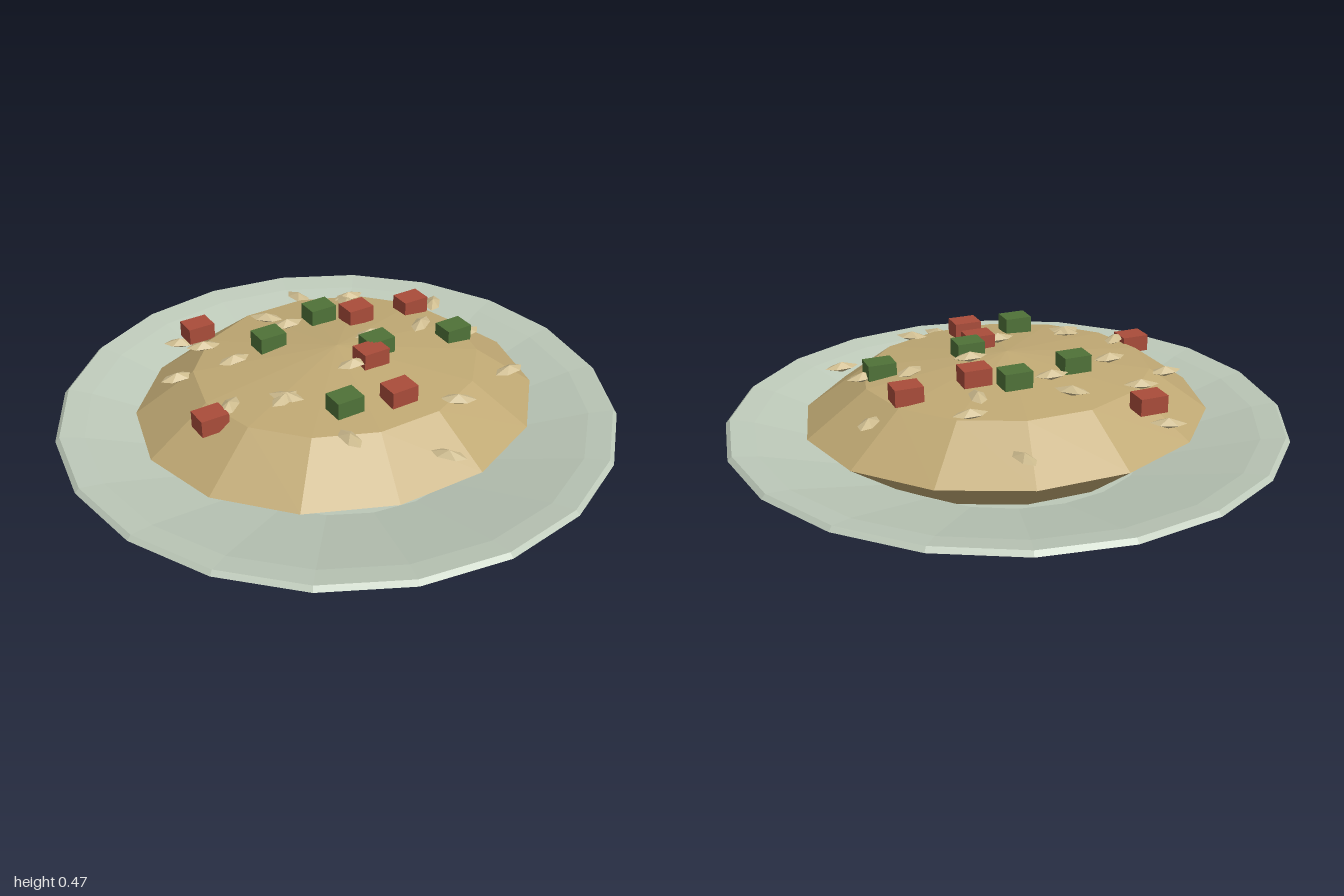
import * as THREE from 'three';

const mat = (color, extra = {}) =>
  new THREE.MeshStandardMaterial({ color, flatShading: true, ...extra });

// Mound ellipsoid: centre height and radii
const MOUND = { y: 0.215, rx: 0.73, ry: 0.215, rz: 0.655 };

// Height of the mound surface above a point on the plate
function moundHeight(x, z) {
  const d = (x / MOUND.rx) ** 2 + (z / MOUND.rz) ** 2;
  return MOUND.y + MOUND.ry * Math.sqrt(Math.max(0, 1 - d));
}

function add(parent, name, geometry, material) {
  const mesh = new THREE.Mesh(geometry, material);
  mesh.name = name;
  parent.add(mesh);
  return mesh;
}

export function createModel() {
  const model = new THREE.Group();
  model.name = 'plateOfRice';

  // Shallow plate: underside, rim, then inner surface
  const profile = [
    [0, 0.03], [0.42, 0.03], [0.53, 0.045], [0.86, 0.11], [1, 0.185],
    [0.985, 0.2], [0.9, 0.185], [0.5, 0.07], [0, 0.06],
  ].map(([r, y]) => new THREE.Vector2(r, y));
  add(model, 'plate', new THREE.LatheGeometry(profile, 20),
    mat(0xbcc8b8, { side: THREE.DoubleSide }));

  // Squashed mound of rice
  const mound = add(model, 'riceMound', new THREE.SphereGeometry(1, 14, 4), mat(0xbfa873));
  mound.scale.set(MOUND.rx, MOUND.ry, MOUND.rz);
  mound.position.y = MOUND.y;

  // Diced vegetables: x, y, z of each centre
  const dice = {
    redDice: [0xa94c3a, [
      [-0.32, 0.365, -0.46], [-0.545, 0.36, 0.09], [0.185, 0.43, -0.165],
      [0.425, 0.4, -0.16], [0.06, 0.435, 0.125], [0.03, 0.41, 0.34]]],
    greenDice: [0x4f7238, [
      [-0.18, 0.425, -0.17], [0.07, 0.43, -0.24], [0.12, 0.435, 0.07],
      [0.44, 0.395, 0.09], [-0.16, 0.415, 0.305]]],
  };
  const cube = new THREE.BoxGeometry(0.1, 0.06, 0.08);
  for (const [name, [color, places]] of Object.entries(dice)) {
    const group = new THREE.Group();
    group.name = name;
    const material = mat(color);
    for (const p of places) add(group, 'dice', cube, material).position.set(...p);
    model.add(group);
  }

  // Loose grains: x, z and turn in degrees
  const grains = new THREE.Group();
  grains.name = 'riceGrains';
  const grain = new THREE.SphereGeometry(1, 6, 2);
  grain.scale(0.062, 0.019, 0.03);
  const grainMat = mat(0xcdbb8e);
  const places = [
    [-0.37, -0.51, -25], [-0.36, -0.33, -15], [-0.09, -0.35, -45], [-0.065, -0.24, 0],
    [0.18, -0.58, -80], [0.275, -0.36, 0], [0.22, -0.285, 80], [-0.52, -0.215, 0],
    [-0.335, -0.14, 5], [0.57, -0.21, 50], [0.14, -0.005, 0], [0.36, 0, 35],
    [-0.47, 0.08, 40], [0.5, 0.09, 10], [-0.02, 0.135, 0], [-0.31, 0.17, 20],
    [-0.3, 0.165, -50], [-0.22, 0.43, 90], [0.21, 0.43, -35], [0.515, 0.325, 5],
    [0.05, 0.6, -55],
  ];
  for (const [x, z, turn] of places) {
    const g = add(grains, 'grain', grain, grainMat);
    g.position.set(x, moundHeight(x, z) + 0.005, z);
    g.rotation.y = THREE.MathUtils.degToRad(turn);
  }
  model.add(grains);

  return model;
}
